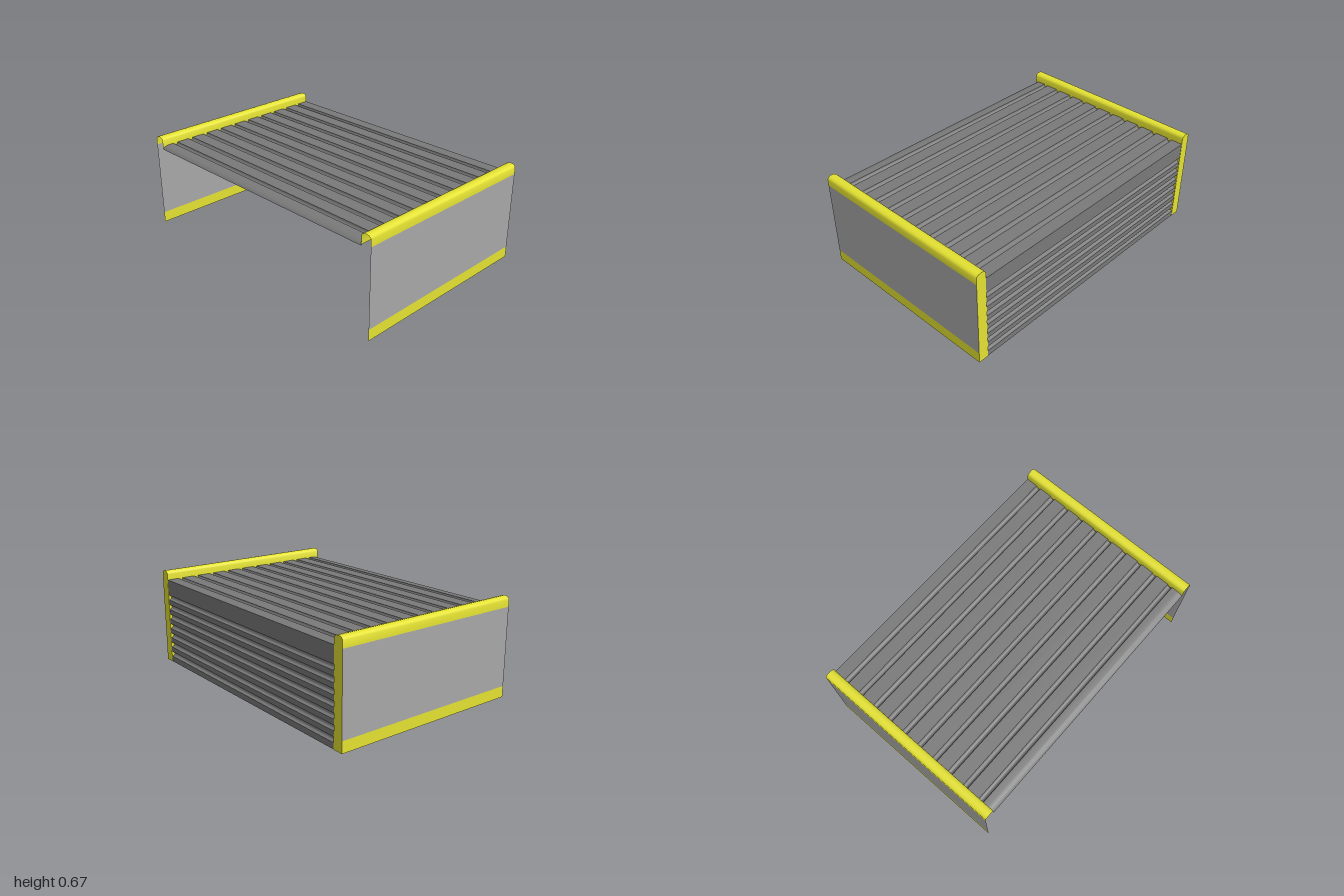
import * as THREE from 'three';
import { toCreasedNormals } from 'three/addons/utils/BufferGeometryUtils.js';

const HALF_Z = 0.667;   // half depth
const INNER = 0.93;     // half width between the rails
const ROOF_Y = 0.605;

function material(name, color) {
  const m = new THREE.MeshStandardMaterial({ color, side: THREE.DoubleSide });
  m.name = name;
  return m;
}

// Sweeps a 2D profile from t0 to t1; place(a, b, t) gives the 3D point.
function sweep(profile, t0, t1, place, crease = 0.65) {
  const pos = [];
  for (let i = 0; i < profile.length - 1; i++) {
    const [a, b] = profile[i], [c, d] = profile[i + 1];
    const p = place(a, b, t0), q = place(c, d, t0);
    const r = place(c, d, t1), s = place(a, b, t1);
    pos.push(...p, ...q, ...r, ...p, ...r, ...s);
  }
  const g = new THREE.BufferGeometry();
  g.setAttribute('position', new THREE.Float32BufferAttribute(pos, 3));
  g.computeVertexNormals();
  return toCreasedNormals(g, crease);
}

// Adds round-bottomed grooves to a profile running along its first axis.
function addGrooves(profile, first, pitch, count, width, depth, level) {
  for (let k = 0; k < count; k++) {
    for (let i = 0; i <= 8; i++) {
      const t = (Math.PI * i) / 8;
      profile.push([first + k * pitch - (Math.cos(t) * width) / 2, level - Math.sin(t) * depth]);
    }
  }
}

export function createModel() {
  const group = new THREE.Group();
  const yellow = material('yellow trim', 0xe4e232);
  const lightGrey = material('light grey panel', 0xa8a8a8);
  const grey = material('grey sheet', 0x7a7a7a);

  const add = (name, geometry, mat, parent = group) => {
    const mesh = new THREE.Mesh(geometry, mat);
    mesh.name = name;
    parent.add(mesh);
  };

  // Grooved roof sheet with a rolled front lip
  const roof = [[-HALF_Z, ROOF_Y]];
  addGrooves(roof, -0.567, 0.1258, 10, 0.035, 0.02, ROOF_Y);
  roof.push([0.62, ROOF_Y], [0.642, 0.602], [0.659, 0.594], [HALF_Z, 0.583]);
  add('roof', sweep(roof, -INNER, INNER, (z, y, x) => [x, y, z]), grey);

  // Grooved back wall with a plain header
  const wall = [[0, HALF_Z - 0.002]];
  addGrooves(wall, 0.0575, 0.07, 7, 0.035, 0.02, HALF_Z - 0.002);
  wall.push([ROOF_Y, HALF_Z - 0.002]);
  add('backWall', sweep(wall, -INNER, INNER, (y, d, x) => [x, y, -d]), grey);

  // Hollow top rail, open underneath
  const rail = [[1, 0.6], [1, 0.645], [0.996, 0.655], [0.985, 0.663], [0.965, 0.667],
    [0.945, 0.663], [0.934, 0.655], [0.93, 0.645], [0.93, 0.59]];

  // Rear post plate, following the rail outline at its top
  const post = new THREE.Shape();
  post.moveTo(INNER, 0);
  post.lineTo(1, 0);
  rail.slice(1, -1).forEach(([x, y]) => post.lineTo(x, y));
  post.closePath();

  for (const side of [1, -1]) {
    const half = new THREE.Group();
    half.name = side > 0 ? 'leftSide' : 'rightSide';
    group.add(half);
    const along = (x, y, z) => [side * x, y, z];

    add('sidePanel', sweep([[1, 0.075], [1, 0.6]], -HALF_Z, HALF_Z, along), lightGrey, half);
    add('bottomStrip', sweep([[1, 0], [1, 0.075]], -HALF_Z, HALF_Z, along), yellow, half);
    add('topRail', sweep(rail, -HALF_Z, HALF_Z, along), yellow, half);

    const plate = new THREE.ShapeGeometry(post);
    if (side < 0) plate.rotateY(Math.PI);
    plate.translate(0, 0, -HALF_Z);
    add('rearPost', plate, yellow, half);
    // Return flange behind the ends of the wall sheet
    add('rearPostFlange', sweep([[INNER, -HALF_Z], [INNER, -0.645]], 0, 0.6,
      (x, z, y) => [side * x, y, z]), yellow, half);
  }
  return group;
}
